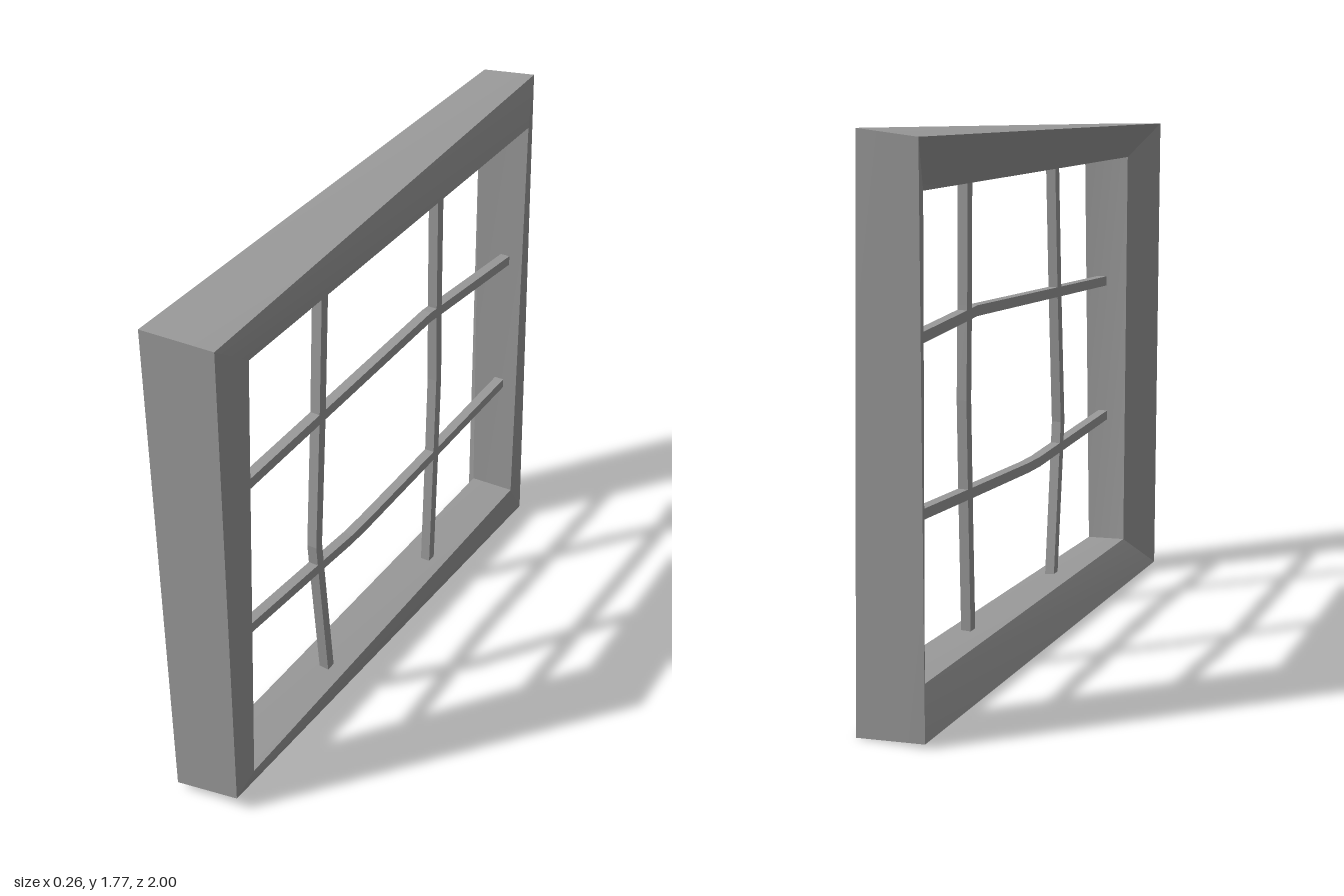
import * as THREE from 'three';

const material = new THREE.MeshStandardMaterial({ color: 0x999999 });

// Frame cross-section loops, each with corners [x, y, z] in the order
// top front, top back, bottom back, bottom front
const FRAME_LOOPS = [
  [[0.13, 1.70, 0.985], [0.055, 1.77, -1.0], [0.115, 0.0, -0.96], [0.105, 0.055, 0.965]],    // outer, left
  [[0.12, 1.587, 0.82], [0.112, 1.64, -0.86], [0.12, 0.14, -0.86], [0.122, 0.12, 0.89]],     // inner, left
  [[-0.045, 1.59, 0.825], [-0.065, 1.593, -0.84], [-0.04, 0.14, -0.855], [-0.035, 0.14, 0.85]], // inner, right
  [[-0.107, 1.705, 1.0], [-0.135, 1.75, -1.0], [-0.11, 0.015, -0.955], [-0.115, 0.025, 0.98]], // outer, right
];

// Crooked mitred frame: joins each loop to the next, all the way round.
// Each slightly twisted face has its own four corners, so it shades as one.
function frameGeometry() {
  const positions = [];
  const indices = [];
  for (let k = 0; k < 4; k++) {
    const a = FRAME_LOOPS[k];
    const b = FRAME_LOOPS[(k + 1) % 4];
    for (let c = 0; c < 4; c++) {
      const n = (c + 1) % 4;
      const i = positions.length / 3;
      positions.push(...a[c], ...b[c], ...b[n], ...a[n]);
      indices.push(i, i + 1, i + 2, i, i + 2, i + 3);
    }
  }
  const geometry = new THREE.BufferGeometry();
  geometry.setAttribute('position', new THREE.Float32BufferAttribute(positions, 3));
  geometry.setIndex(indices);
  geometry.computeVertexNormals();
  return geometry;
}

// Bent square bar following [z, y] points, widened along z or y
function barGeometry(points, upright) {
  const half = 0.017;
  const depth = 0.034;
  const oz = upright ? half : 0;
  const oy = upright ? 0 : half;
  const side = (s) => points.map(([z, y]) => new THREE.Vector2(-z + s * oz, y + s * oy));
  const shape = new THREE.Shape([...side(1), ...side(-1).reverse()]);
  return new THREE.ExtrudeGeometry(shape, { depth, bevelEnabled: false })
    .rotateY(Math.PI / 2)
    .translate(0.055 - depth / 2, 0, 0);
}

const BARS = [
  { name: 'upperCrossbar', upright: false,
    points: [[0.835, 1.13], [0.39, 1.147], [-0.28, 1.173], [-0.35, 1.167], [-0.845, 1.13]] },
  { name: 'lowerCrossbar', upright: false,
    points: [[0.855, 0.617], [0.42, 0.59], [0.22, 0.577], [0.12, 0.577], [-0.33, 0.595], [-0.845, 0.617]] },
  { name: 'frontUprightBar', upright: true,
    points: [[0.36, 1.595], [0.385, 1.15], [0.418, 0.68], [0.408, 0.58], [0.36, 0.13]] },
  { name: 'backUprightBar', upright: true,
    points: [[-0.327, 1.61], [-0.335, 1.2], [-0.345, 0.9], [-0.338, 0.58], [-0.325, 0.13]] },
];

export function createModel() {
  const model = new THREE.Group();
  model.name = 'crookedWindow';

  const frame = new THREE.Mesh(frameGeometry(), material);
  frame.name = 'windowFrame';
  model.add(frame);

  // Lattice of bars inside the frame
  const lattice = new THREE.Group();
  lattice.name = 'windowBars';
  for (const { name, points, upright } of BARS) {
    const bar = new THREE.Mesh(barGeometry(points, upright), material);
    bar.name = name;
    lattice.add(bar);
  }
  model.add(lattice);
  return model;
}
